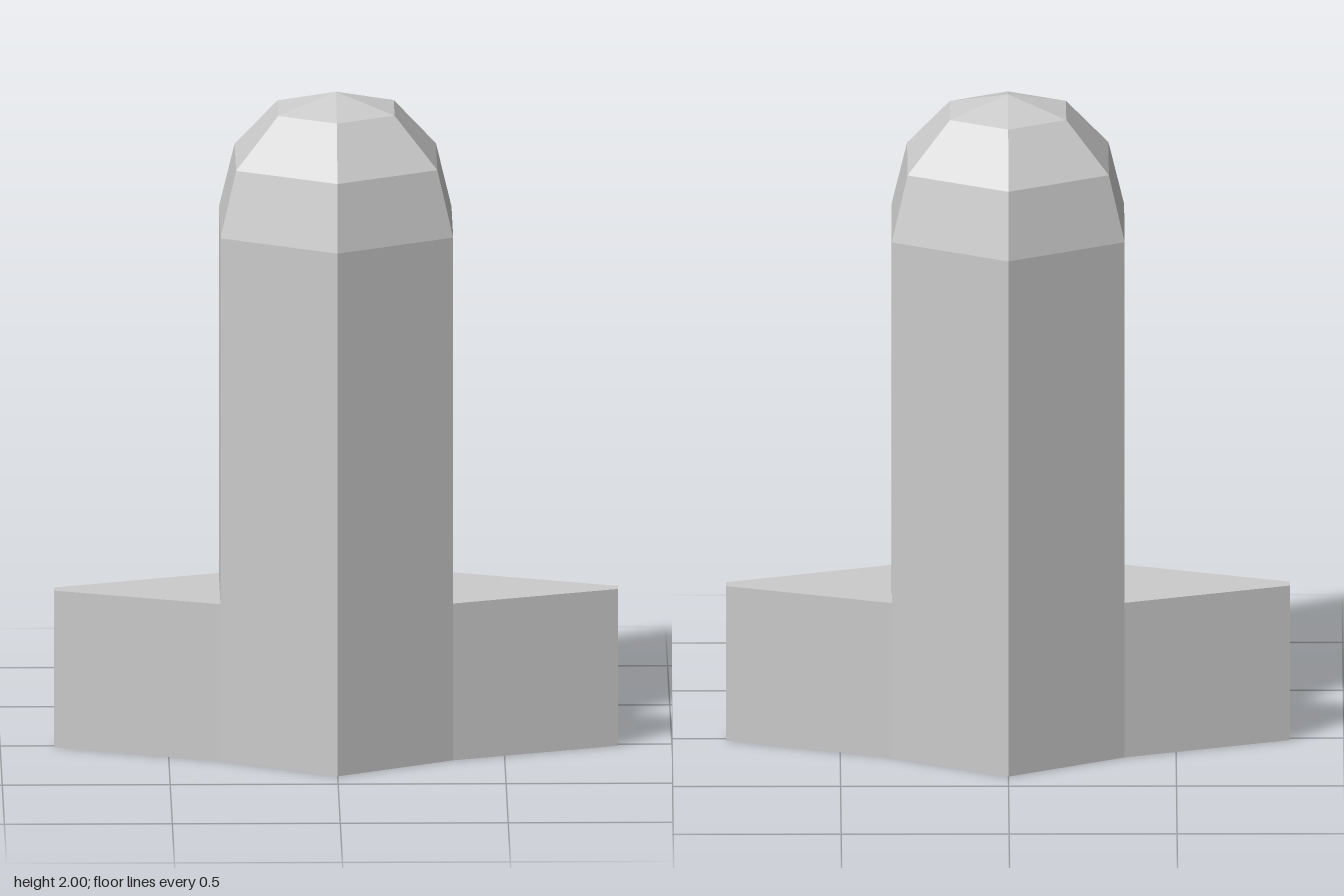
import * as THREE from 'three';

export function createModel() {
  const group = new THREE.Group();
  const material = new THREE.MeshStandardMaterial({ color: 0xcccccc, flatShading: true });

  // Six-sided body with a stepped dome, closed at the base
  const profile = [[0, 0], [0.4, 0], [0.4, 1.6], [0.346, 1.8], [0.2, 1.95], [0, 2]]
    .map(([r, y]) => new THREE.Vector2(r, y));
  const body = new THREE.Mesh(new THREE.LatheGeometry(profile, 6), material);
  body.name = 'body';
  group.add(body);

  // Tapered side fins, flush with the body's side faces
  const inner = 0.4 * Math.cos(Math.PI / 6);
  const plan = new THREE.Shape([[inner, -0.2], [0.84, -0.02], [0.84, 0.02], [inner, 0.2]]
    .map(([x, z]) => new THREE.Vector2(x, z)));
  const finGeometry = new THREE.ExtrudeGeometry(plan, { depth: 0.48, bevelEnabled: false });
  finGeometry.rotateX(-Math.PI / 2);
  for (const [name, turn] of [['leftFin', 0], ['rightFin', Math.PI]]) {
    const fin = new THREE.Mesh(finGeometry, material);
    fin.name = name;
    fin.rotation.y = turn;
    group.add(fin);
  }

  return group;
}
